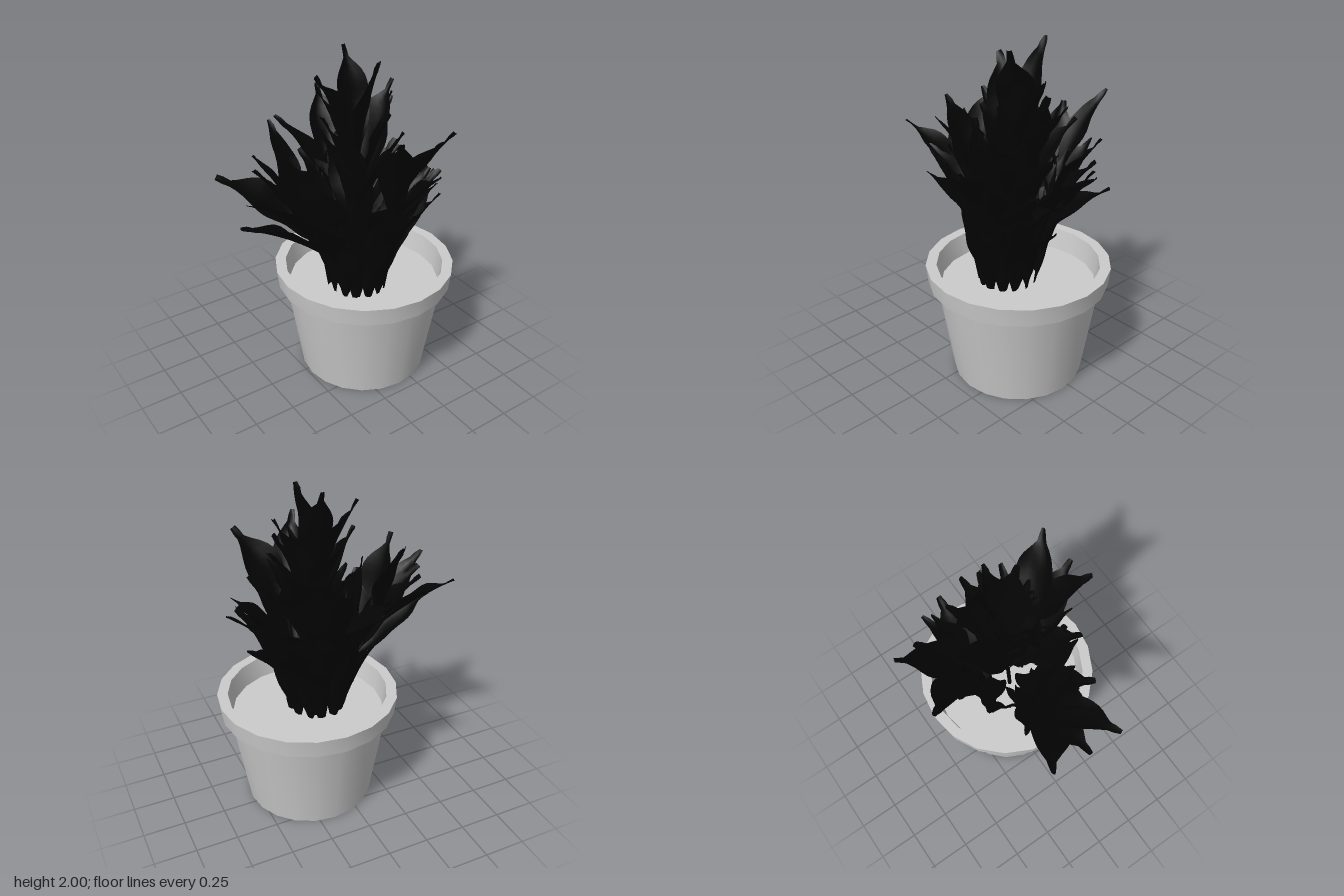
import * as THREE from 'three';
import { toCreasedNormals } from 'three/addons/utils/BufferGeometryUtils.js';

const V = (x, y, z) => new THREE.Vector3(x, y, z);
const SOIL = 0.58;
const potMat = new THREE.MeshStandardMaterial({ color: 0xcccccc, side: THREE.DoubleSide });
const leafMat = new THREE.MeshStandardMaterial({ color: 0x040404, side: THREE.DoubleSide });

// half-width along the leaf: narrow foot, broad upper blade, short blunt tip
function leafWidth(t) {
  const blade = Math.pow(Math.sin(Math.PI * Math.pow(Math.min(1, 0.12 + t), 1.5)), 0.8);
  return Math.max(blade, t > 0.5 ? 0.24 - 0.12 * Math.pow(t, 12) : 0.2);
}

// cupped blade that rises from base and bends outward to the tip
function makeLeaf(name, base, tip, halfWidth, twist) {
  const d = tip.clone().sub(base);
  const curve = new THREE.QuadraticBezierCurve3(
    base, V(base.x + d.x * 0.45, base.y + d.y * 0.55 + 0.03, base.z + d.z * 0.45), tip);
  const out = V(d.x, 0, d.z).normalize().applyAxisAngle(V(0, 1, 0), twist);
  const rows = 16, cols = 5, pos = [], idx = [];
  for (let i = 0; i < rows; i++) {
    const t = i / (rows - 1), p = curve.getPoint(t), tan = curve.getTangent(t);
    const side = V(0, 1, 0).cross(out);
    side.addScaledVector(tan, -side.dot(tan)).normalize();
    const normal = tan.clone().cross(side);
    for (let j = 0; j < cols; j++) {
      const u = (j / (cols - 1)) * 2 - 1, w = halfWidth * leafWidth(t);
      const ripple = Math.sin(t * 14 + u * 2 + twist * 9) * 0.01 * Math.abs(u);
      const q = p.clone().addScaledVector(side, u * w)
        .addScaledVector(normal, u * u * w * 0.4 + ripple);
      pos.push(q.x, Math.max(q.y, SOIL - 0.01), q.z);
      if (i && j) {
        const a = i * cols + j, b = a - 1, c = a - cols, e = c - 1;
        idx.push(e, c, a, e, a, b);
      }
    }
  }
  const g = new THREE.BufferGeometry();
  g.setAttribute('position', new THREE.Float32BufferAttribute(pos, 3));
  g.setIndex(idx);
  g.computeVertexNormals();
  const leaf = new THREE.Mesh(g, leafMat);
  leaf.name = name;
  return leaf;
}

// leaf tips spread over an arc about (x, z); angle 0 faces the front, heights alternate
function fan(count, x, z, y, radius, from, to) {
  return Array.from({ length: count }, (_, i) => {
    const a = from + (to - from) * (i / count), r = radius * (1 + 0.08 * Math.sin(i * 5));
    return V(x + r * Math.sin(a), y + 0.08 * Math.sin(i * 2.6), z + r * Math.cos(a));
  });
}

// curved stem from foot to head; each leaf leaves it about one leaf length below its tip
function makeShoot(name, foot, head, tips) {
  const shoot = new THREE.Group();
  shoot.name = name;
  const bend = foot.clone().lerp(head, 0.3).setY((foot.y + head.y) / 2);
  const path = new THREE.QuadraticBezierCurve3(foot, bend, head);
  const stem = new THREE.Mesh(new THREE.TubeGeometry(path, 10, 0.012, 6), leafMat);
  stem.name = 'stem';
  shoot.add(stem);
  const nodes = path.getPoints(40).slice(1);
  const miss = (p, tip) => Math.abs(p.distanceTo(tip) - 0.62);
  tips.forEach((tip, i) => {
    const base = nodes.reduce((a, b) => (miss(b, tip) < miss(a, tip) ? b : a));
    shoot.add(makeLeaf('leaf', base, tip, 0.1 + 0.012 * (i % 3), 0.5 * Math.sin(i * 2.4)));
  });
  return shoot;
}

function makePot() {
  const pot = new THREE.Group();
  pot.name = 'pot';
  pot.position.set(0.155, 0, 0.048);
  // outer wall, stepped rim, inner wall
  const profile = [[0, 0], [0.39, 0], [0.485, 0.6], [0.53, 0.6], [0.543, 0.71],
    [0.48, 0.71], [0.452, 0.55]].map(p => new THREE.Vector2(...p));
  const shell = new THREE.Mesh(toCreasedNormals(new THREE.LatheGeometry(profile, 20), 0.5), potMat);
  shell.name = 'potShell';
  const soil = new THREE.Mesh(new THREE.CircleGeometry(0.457, 20).rotateX(-Math.PI / 2), potMat);
  soil.name = 'soil';
  soil.position.y = SOIL;
  pot.add(shell, soil);
  return pot;
}

// broad leaves growing straight from the soil
function makeBaseLeaves() {
  const skirt = new THREE.Group();
  skirt.name = 'baseLeaves';
  const count = 14;
  for (let i = 0; i < count; i++) {
    const a = (i / count) * Math.PI * 2, c = Math.cos(a), s = Math.sin(a);
    const r = 0.3 + 0.04 * (i % 2);
    skirt.add(makeLeaf('baseLeaf',
      V(0.09 + c * 0.17, SOIL, 0.07 + s * 0.18),
      V(0.09 + c * r, 1.1 + 0.11 * (i % 3), 0.04 + s * (r + 0.05)),
      0.11, 0.3 * Math.sin(i * 3)));
  }
  return skirt;
}

export function createModel() {
  const model = new THREE.Group();
  const plant = new THREE.Group();
  plant.name = 'plant';
  const turn = Math.PI * 2;

  plant.add(
    makeShoot('tallShoot', V(0.11, SOIL, 0.04), V(0.13, 1.5, 0), [
      V(0.14, 2, -0.16), V(0.17, 1.97, 0.14), V(-0.12, 1.89, -0.05),
      V(0.34, 1.82, 0.04), V(0.41, 1.68, -0.06), V(-0.15, 1.7, 0.05),
      ...fan(5, 0.14, 0, 1.7, 0.23, 0.2, turn + 0.2),
      ...fan(8, 0.16, 0, 1.5, 0.26, 0, turn)]),
    makeShoot('frontShoot', V(0.16, SOIL, 0.17), V(0.19, 1.2, 0.28), [
      V(0.03, 1.67, 0.52), V(0.26, 1.44, 0.57), V(0.42, 1.63, 0.49),
      V(0.59, 1.24, 0.16), V(0.53, 1.3, 0.27), V(0.5, 1.02, 0.1),
      ...fan(6, 0.14, 0.08, 1.25, 0.4, -0.6, 1.7)]),
    makeShoot('backShoot', V(0.15, SOIL, -0.05), V(0.14, 1.15, -0.28), [
      V(0.23, 1.64, -0.58), V(-0.09, 1.5, -0.56), V(0.35, 1.4, -0.42),
      V(0.55, 1.2, -0.27), V(-0.17, 1.3, -0.28),
      ...fan(6, 0.15, 0, 1.3, 0.43, 1.9, 3.9)]),
    makeShoot('leaningShoot', V(-0.02, SOIL, 0.07), V(-0.32, 1.1, 0.02), [
      V(-0.69, 1.4, 0.2), V(-0.66, 1.18, 0.05), V(-0.66, 1.38, -0.22),
      V(-0.32, 1.64, -0.22), V(-0.34, 1.2, 0.32), V(-0.42, 1.6, 0.1),
      V(-0.43, 1.45, -0.22), V(-0.21, 1.5, 0.06),
      ...fan(5, -0.33, 0.04, 1.36, 0.2, 0.4, turn + 0.4)]),
    makeBaseLeaves());

  model.add(makePot(), plant);
  return model;
}
